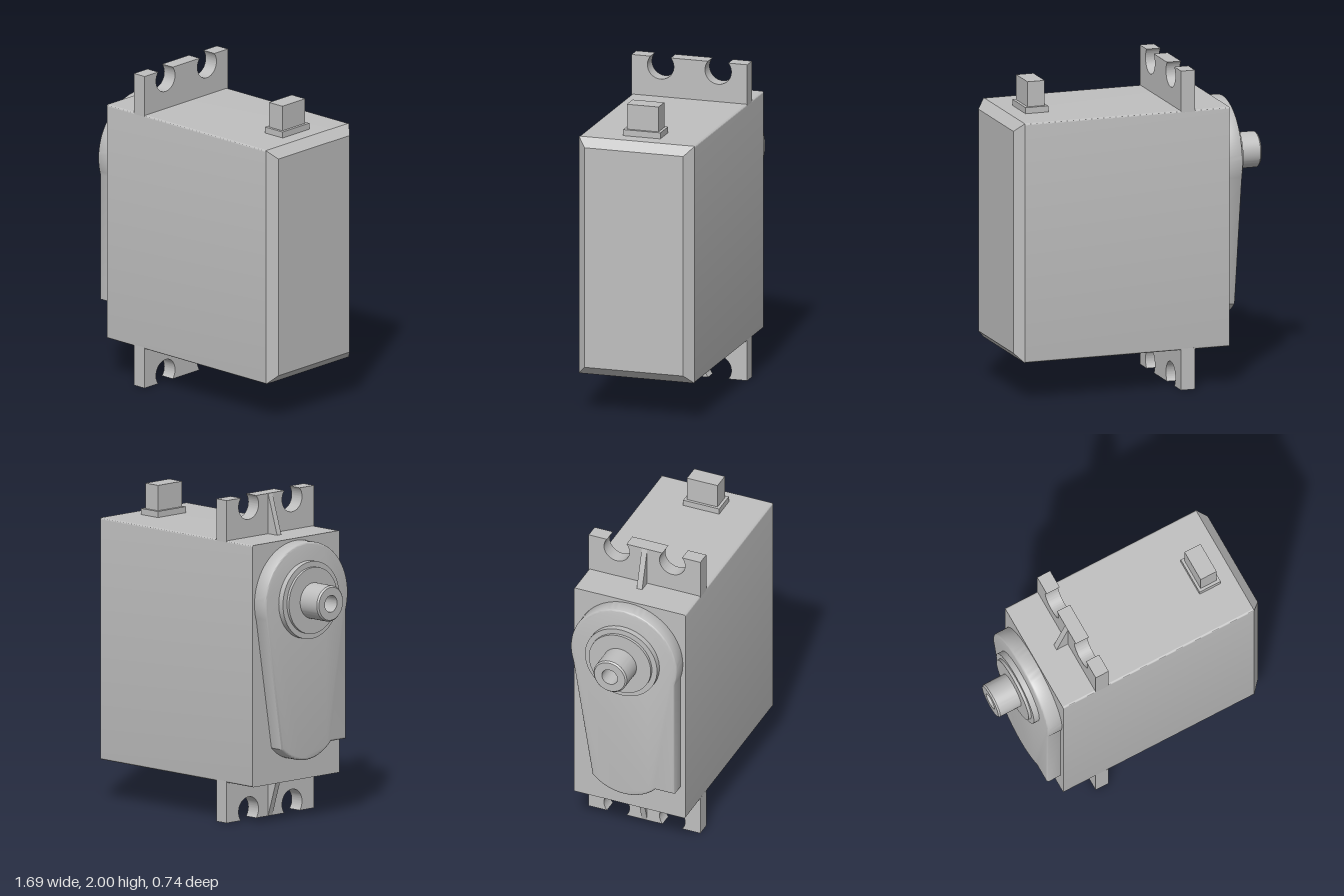
import * as THREE from 'three';
import { toCreasedNormals } from 'three/addons/utils/BufferGeometryUtils.js';

const HALF = 0.372; // half depth of case and flanges
const AXIS_Y = 1.382; // height of the output shaft

export function createModel() {
  const model = new THREE.Group();
  model.name = 'servoMotor';
  const grey = new THREE.MeshStandardMaterial({ color: 0xbfbfbf });
  grey.name = 'grey';

  const add = (name, geometry, parent = model) => {
    const mesh = new THREE.Mesh(geometry, grey);
    mesh.name = name;
    parent.add(mesh);
    return mesh;
  };
  const box = (name, x0, x1, y0, y1, halfZ) =>
    add(name, new THREE.BoxGeometry(x1 - x0, y1 - y0, 2 * halfZ)
      .translate((x0 + x1) / 2, (y0 + y1) / 2, 0));
  // Extrude a z-y outline along x from x0 to x1
  const extrudeX = (shape, x0, x1, bevel = 0) => {
    const g = new THREE.ExtrudeGeometry(shape, {
      depth: x1 - x0 - 2 * bevel, curveSegments: 32,
      bevelEnabled: bevel > 0, bevelThickness: bevel, bevelSize: bevel,
      bevelOffset: -bevel, bevelSegments: 4,
    });
    g.translate(0, 0, bevel).rotateY(Math.PI / 2).translate(x0, 0, 0);
    return toCreasedNormals(g, 0.6);
  };

  // Case with slightly rounded long edges
  const r = 0.012, y0 = 0.25, y1 = 1.75;
  const section = new THREE.Shape();
  section.absarc(HALF - r, y0 + r, r, -Math.PI / 2, 0);
  section.absarc(HALF - r, y1 - r, r, 0, Math.PI / 2);
  section.absarc(-HALF + r, y1 - r, r, Math.PI / 2, Math.PI);
  section.absarc(-HALF + r, y0 + r, r, Math.PI, Math.PI * 1.5);
  add('case', extrudeX(section, -0.54, 0.787));

  // Chamfered end cover: a box whose outer face is drawn in
  const cover = new THREE.BoxGeometry(0.055, 1.5, 2 * HALF);
  const p = cover.attributes.position;
  for (let i = 0; i < p.count; i++) {
    if (p.getX(i) > 0) {
      p.setY(i, Math.sign(p.getY(i)) * 0.695);
      p.setZ(i, Math.sign(p.getZ(i)) * 0.317);
    }
  }
  cover.translate(0.8145, 1, 0);
  add('endCover', toCreasedNormals(cover, 0.1));

  // Mounting flanges with open screw holes, and their ribs
  const holeR = 0.085, holeY = 1.945;
  const a = Math.asin((2 - holeY) / holeR);
  const flange = new THREE.Shape();
  flange.moveTo(HALF, 1.74);
  flange.lineTo(HALF, 2);
  flange.absarc(0.185, holeY, holeR, a, -Math.PI - a, true);
  flange.absarc(-0.185, holeY, holeR, a, -Math.PI - a, true);
  flange.lineTo(-HALF, 2);
  flange.lineTo(-HALF, 1.74);
  const flangeGeometry = extrudeX(flange, -0.315, -0.225);

  const rib = new THREE.Shape([
    new THREE.Vector2(-0.393, 1.75),
    new THREE.Vector2(-0.314, 1.75),
    new THREE.Vector2(-0.314, 2),
  ]);
  const ribGeometry = new THREE.ExtrudeGeometry(rib, { depth: 0.036, bevelEnabled: false })
    .translate(0, 0, -0.018);

  for (const side of ['upper', 'lower']) {
    const mount = new THREE.Group();
    mount.name = side + 'Mount';
    if (side === 'lower') {
      mount.rotation.x = Math.PI;
      mount.position.y = 2;
    }
    add(side + 'Flange', flangeGeometry, mount);
    add(side + 'Rib', ribGeometry, mount);
    model.add(mount);
  }

  // Cable outlet
  box('cableCollar', 0.545, 0.692, 1.745, 1.788, 0.12);
  box('cableStub', 0.562, 0.673, 1.78, 1.945, 0.102);

  // Gear housing: round head, straight sides, curved foot
  const headR = 0.354, sideZ = 0.338, footY = 0.475;
  const headA = Math.acos(sideZ / headR);
  const footR = 0.29, footC = 0.385 + footR;
  const footA = Math.asin((footC - footY) / footR);
  const housing = new THREE.Shape();
  housing.moveTo(sideZ, footY);
  housing.absarc(0, AXIS_Y, headR, -headA, Math.PI + headA, false);
  housing.lineTo(-sideZ, footY);
  housing.absarc(0, footC, footR, Math.PI + footA, 2 * Math.PI - footA, false);
  add('gearHousing', extrudeX(housing, -0.635, -0.515, 0.015));

  // Stepped bearing and hollow shaft turned around the output axis
  const turned = (name, points) => {
    const g = new THREE.LatheGeometry(points.map(([x, y]) => new THREE.Vector2(x, y)), 64);
    g.rotateZ(Math.PI / 2).translate(0, AXIS_Y, 0);
    add(name, toCreasedNormals(g, 0.5));
  };
  turned('bearing', [
    [0.24, 0.62], [0.24, 0.672], [0.206, 0.672], [0.206, 0.69], [0, 0.69],
  ]);
  turned('outputShaft', [
    [0.111, 0.68], [0.111, 0.835], [0.102, 0.845], [0.052, 0.845], [0.052, 0.7], [0, 0.7],
  ]);

  return model;
}
